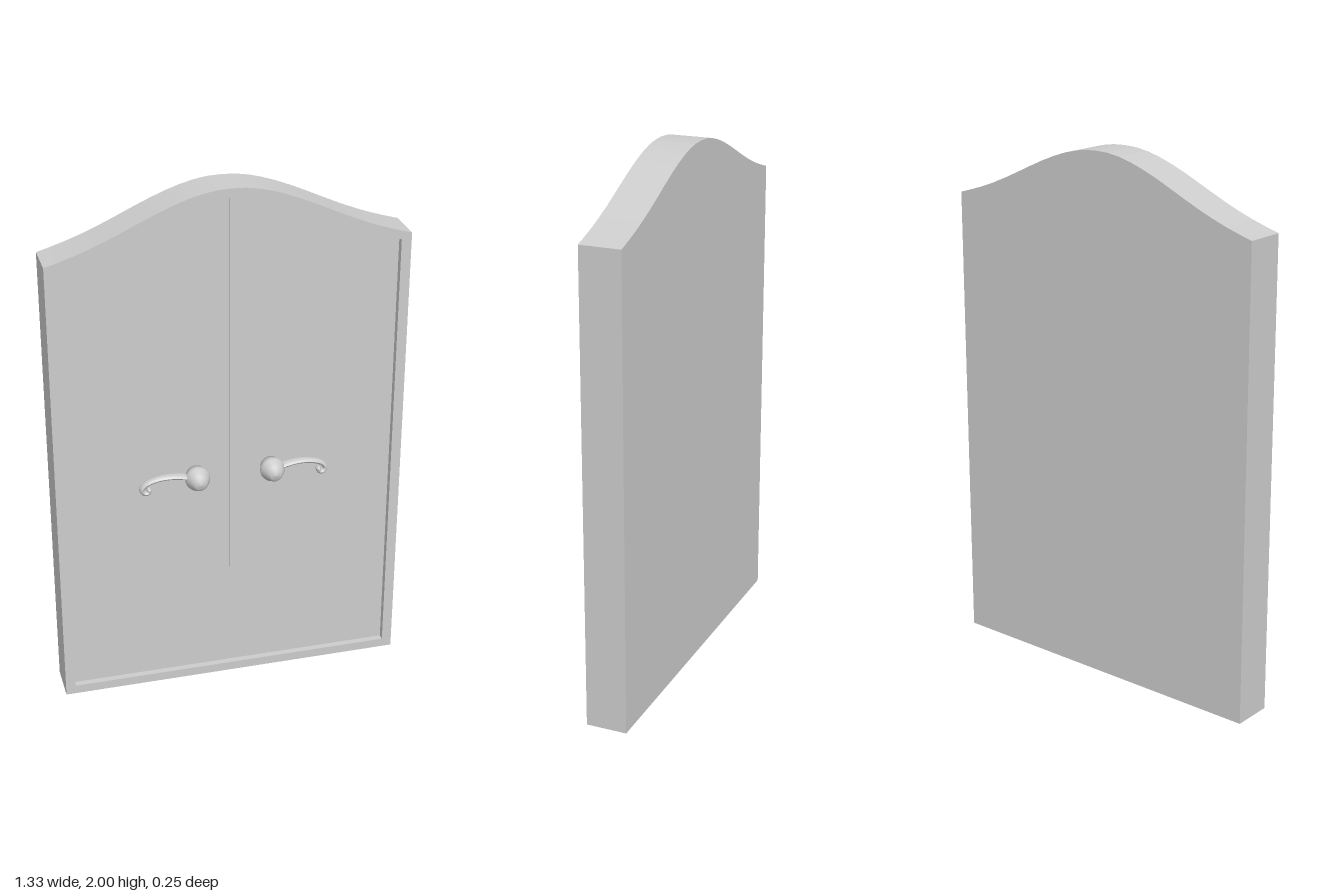
import * as THREE from 'three';

const BACK = -0.128, FRONT = 0.027, RECESS = 0.025;
const material = new THREE.MeshStandardMaterial({ color: 0xcccccc });

// Height of the bell-shaped top edge at a distance from the centre line
const half = [[0, 2], [0.05, 1.998], [0.1, 1.99], [0.15, 1.977], [0.2, 1.96], [0.26, 1.936], [0.32, 1.909],
  [0.38, 1.881], [0.44, 1.854], [0.5, 1.829], [0.56, 1.807], [0.62, 1.788], [0.665, 1.775]];
function archY(x) {
  const a = Math.abs(x);
  let i = 1;
  while (i < half.length - 1 && half[i][0] < a) i++;
  const [p, q] = [half[i - 1], half[i]];
  return p[1] + (q[1] - p[1]) * (a - p[0]) / (q[0] - p[0]);
}

// Closed outline between x0 and x1, with an arched top lowered by drop
function outline(x0, x1, y0, drop) {
  const xs = half.flatMap(([x]) => (x ? [x, -x] : [x])).filter((x) => x > x0 + 0.004 && x < x1 - 0.004);
  const top = [x0, ...xs.sort((a, b) => a - b), x1].reverse();
  return [new THREE.Vector2(x0, y0), new THREE.Vector2(x1, y0),
    ...top.map((x) => new THREE.Vector2(x, archY(x) - drop))];
}

function extrude(name, shape, z0, z1) {
  const geo = new THREE.ExtrudeGeometry(shape, { depth: z1 - z0, bevelEnabled: false });
  geo.translate(0, 0, z0);
  const mesh = new THREE.Mesh(geo, material);
  mesh.name = name;
  return mesh;
}

// Knob with a curled lever pointing outwards to the given side
function handle(side) {
  const group = new THREE.Group();
  group.name = side > 0 ? 'leftHandle' : 'rightHandle';

  const profile = [[0, 0.034], [0.036, 0.034], [0.037, 0.048], [0.045, 0.062], [0.047, 0.072], [0.045, 0.082],
    [0.037, 0.098], [0.029, 0.114], [0.02, 0.123], [0, 0.127]].map(([r, z]) => new THREE.Vector2(r, z));
  const knob = new THREE.Mesh(new THREE.LatheGeometry(profile, 28).rotateX(Math.PI / 2), material);
  knob.name = 'knob';
  knob.position.set(side * 0.143, 0.908, 0);

  const path = new THREE.CatmullRomCurve3([[0.15, 0.906], [0.185, 0.918], [0.245, 0.926], [0.3, 0.92],
    [0.338, 0.904], [0.352, 0.884], [0.342, 0.87], [0.328, 0.872], [0.325, 0.882]]
    .map(([x, y]) => new THREE.Vector3(side * x, y, 0)));
  const geo = new THREE.TubeGeometry(path, 48, 0.0095, 12);
  // Broaden the lever in depth, tapering towards the curl
  const pos = geo.attributes.position;
  for (let i = 0; i < pos.count; i++) {
    const t = THREE.MathUtils.clamp((Math.abs(pos.getX(i)) - 0.18) / 0.18, 0, 1);
    pos.setZ(i, 0.064 - 0.003 * t + pos.getZ(i) * (2.4 - 0.9 * t));
  }
  geo.computeVertexNormals();
  const lever = new THREE.Mesh(geo, material);
  lever.name = 'lever';

  // Cap over the end of the curl
  const tip = new THREE.Mesh(new THREE.SphereGeometry(0.0095, 12, 8), material);
  tip.name = 'leverTip';
  tip.position.set(side * 0.325, 0.882, 0.062);
  tip.scale.z = 1.65;
  group.add(knob, lever, tip);
  return group;
}

export function createModel() {
  const model = new THREE.Group();
  model.name = 'archedDoubleDoor';
  const floor = FRONT - RECESS;

  // Solid body and the raised rim around its front
  const outer = outline(-0.665, 0.665, 0, 0);
  model.add(extrude('doorBody', new THREE.Shape(outer), BACK, floor - 0.003));
  const rim = new THREE.Shape(outer);
  rim.holes.push(new THREE.Path(outline(-0.627, 0.627, 0.035, 0.033)));
  model.add(extrude('frame', rim, floor - 0.003, FRONT));

  // Two leaves with a fine groove between them
  model.add(extrude('rightLeaf', new THREE.Shape(outline(-0.627, -0.012, 0.035, 0.033)), floor - 0.003, floor));
  model.add(extrude('leftLeaf', new THREE.Shape(outline(-0.002, 0.627, 0.035, 0.033)), floor - 0.003, floor));

  for (const side of [-1, 1]) model.add(handle(side));
  return model;
}
